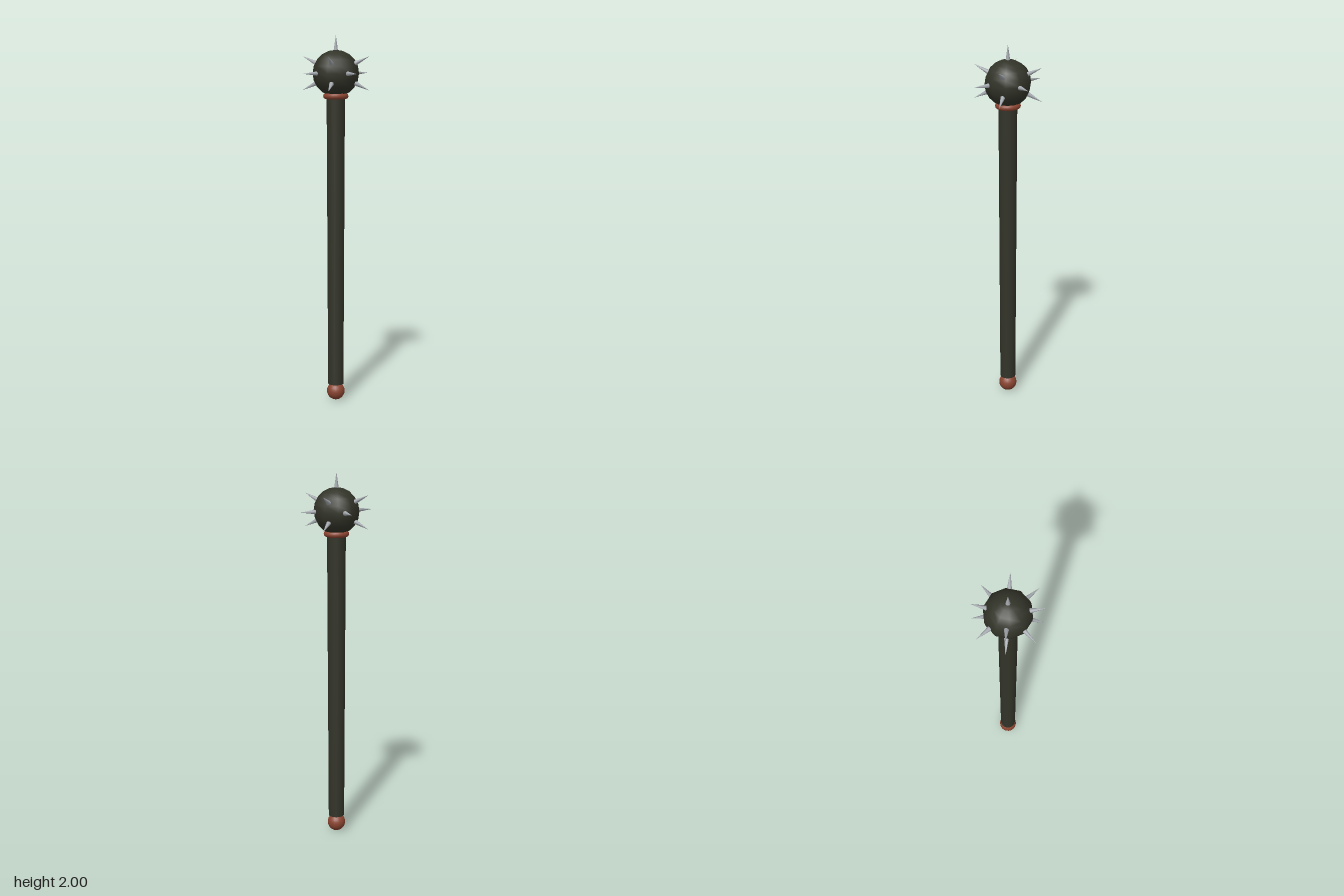
import * as THREE from 'three';

const material = (name, color) => {
  const m = new THREE.MeshStandardMaterial({ color });
  m.name = name;
  return m;
};

export function createModel() {
  const mace = new THREE.Group();
  mace.name = 'mace';
  const dark = material('darkWood', 0x323328);
  const rust = material('rustRed', 0x8a4430);
  const steel = material('steel', 0xa3a8ae);

  const add = (name, geometry, mat, y, parent = mace) => {
    const mesh = new THREE.Mesh(geometry, mat);
    mesh.name = name;
    mesh.position.y = y;
    parent.add(mesh);
    return mesh;
  };

  // Pommel and slightly tapered handle
  add('pommel', new THREE.SphereGeometry(0.049, 20, 14), rust, 0.049);
  add('handle', new THREE.CylinderGeometry(0.05, 0.043, 1.61, 16), dark, 0.895);

  // Collar ring under the head
  add('collar', new THREE.TorusGeometry(0.052, 0.016, 10, 24).rotateX(Math.PI / 2), rust, 1.676);

  // Ball head
  const headY = 1.797;
  add('head', new THREE.SphereGeometry(0.124, 10, 10), dark, headY);

  // Spikes: five along the axes, eight on the diagonals
  const spikes = new THREE.Group();
  spikes.name = 'spikes';
  spikes.position.y = headY;
  mace.add(spikes);
  const directions = [[0, 1, 0], [1, 0, 0], [-1, 0, 0], [0, 0, 1], [0, 0, -1]];
  for (const x of [-1, 1]) for (const y of [-0.7, 0.7]) for (const z of [-1, 1]) directions.push([x, y, z]);

  const up = new THREE.Vector3(0, 1, 0);
  const cone = new THREE.ConeGeometry(0.0135, 0.093, 10).translate(0, 0.1565, 0);
  for (const d of directions) {
    const spike = add('spike', cone, steel, 0, spikes);
    spike.quaternion.setFromUnitVectors(up, new THREE.Vector3(...d).normalize());
  }
  return mace;
}
